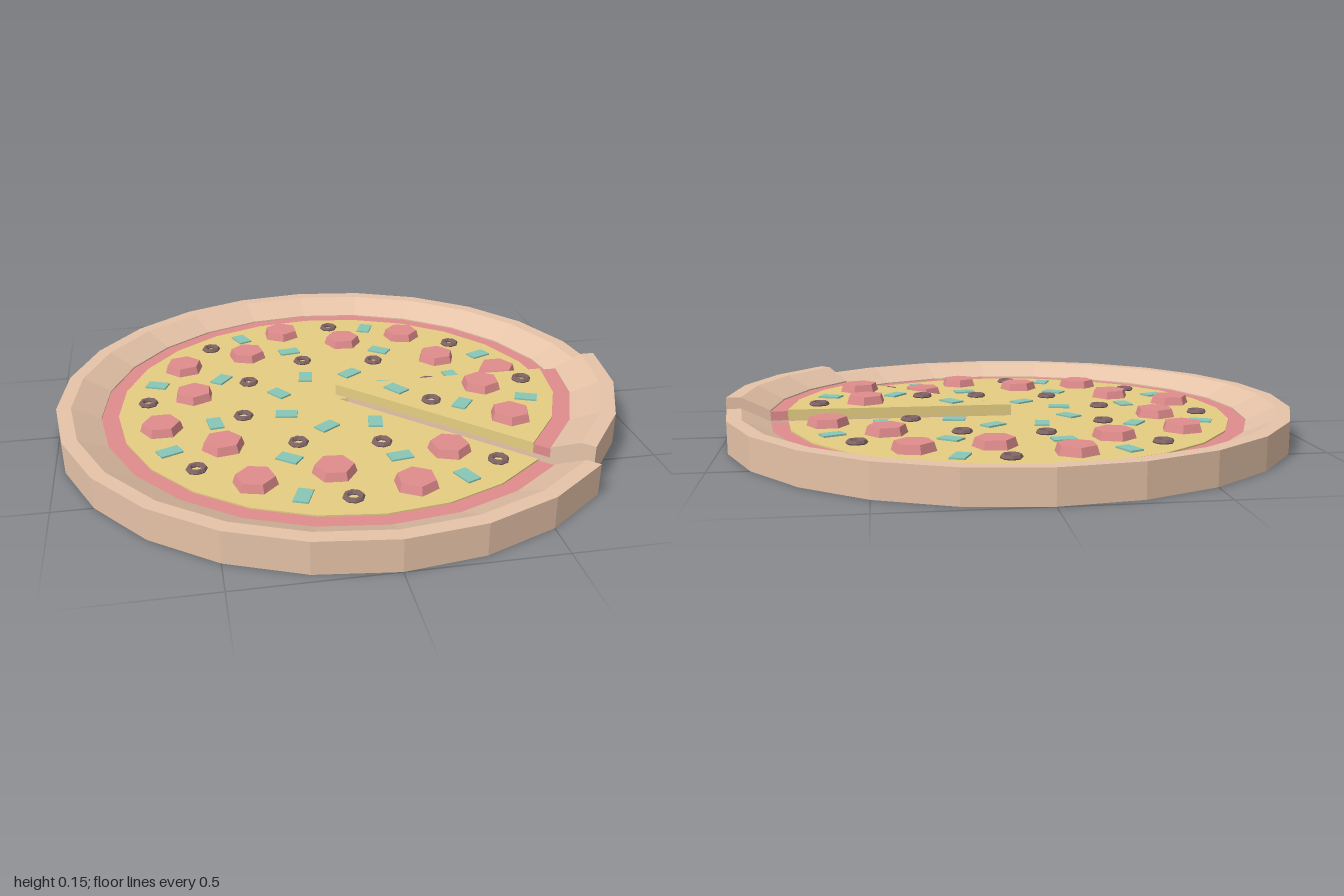
import * as THREE from 'three';
import { mergeGeometries } from 'three/addons/utils/BufferGeometryUtils.js';

const SLICES = 8;
const WEDGE = (Math.PI * 2) / SLICES;
const rad = THREE.MathUtils.degToRad;
const paint = (color) => new THREE.MeshStandardMaterial({ color, flatShading: true });

// Sweeps a closed counter-clockwise (radius, height) section through one slice and caps both cuts
function wedge(section) {
  const points = section.map(([r, y]) => new THREE.Vector2(r, y));
  const shell = new THREE.LatheGeometry([...points, points[0].clone()], 3, Math.PI / 2 - WEDGE, WEDGE);
  const farCap = new THREE.ShapeGeometry(new THREE.Shape(points));
  const nearCap = farCap.clone();
  nearCap.setIndex(Array.from(nearCap.index.array).reverse());
  farCap.rotateY(-WEDGE);
  const geometry = mergeGeometries([shell, farCap, nearCap]).toNonIndexed();
  geometry.computeVertexNormals();
  return geometry;
}

export function createModel() {
  const pizza = new THREE.Group();
  pizza.name = 'pizza';

  const crustMat = paint(0xe6c3a8);
  const sauceMat = paint(0xe08c8c);
  const cheeseMat = paint(0xe6ce82);
  const oliveMat = paint(0x806464);
  const pepperMat = paint(0x88c6b6);

  const top = 0.062; // cheese surface
  const crustGeo = wedge([[0, 0], [1, 0], [1, 0.11], [0.95, 0.11], [0.85, 0.062], [0.85, 0.025], [0, 0.025]]);
  const sauceGeo = wedge([[0.79, 0.025], [0.85, 0.025], [0.85, 0.057], [0.79, 0.057]]);
  const cheeseGeo = wedge([[0, 0.025], [0.79, 0.025], [0.79, top], [0, top]]);
  const sausageGeo = new THREE.CylinderGeometry(0.064, 0.074, 0.03, 6);
  const oliveGeo = new THREE.TorusGeometry(0.026, 0.01, 6, 8).rotateX(Math.PI / 2);
  const pepperGeo = new THREE.BoxGeometry(0.078, 0.008, 0.05);

  // Toppings of one slice: x, z, turn in degrees
  const toppings = [
    { name: 'sausageDisc', geo: sausageGeo, mat: sauceMat, y: top + 0.014,
      spots: [[0.52, 0.11, 5], [0.545, 0.365, 15]] },
    { name: 'oliveRing', geo: oliveGeo, mat: oliveMat, y: top + 0.004,
      spots: [[0.31, 0.195, 0], [0.685, 0.08, 0]] },
    { name: 'pepperPiece', geo: pepperGeo, mat: pepperMat, y: top + 0.002,
      spots: [[0.21, 0.08, 55], [0.41, 0.24, 127], [0.65, 0.23, 22]] },
  ];

  for (let i = 0; i < SLICES; i++) {
    const slice = new THREE.Group();
    slice.name = `slice${i + 1}`;
    slice.rotation.y = -i * WEDGE;
    const add = (name, geo, mat, x = 0, y = 0, z = 0, turn = 0) => {
      const mesh = new THREE.Mesh(geo, mat);
      mesh.name = name;
      mesh.position.set(x, y, z);
      mesh.rotation.y = -rad(turn);
      slice.add(mesh);
    };

    add('crust', crustGeo, crustMat);
    add('sauce', sauceGeo, sauceMat);
    add('cheese', cheeseGeo, cheeseMat);
    for (const { name, geo, mat, y, spots } of toppings) {
      for (const [x, z, turn] of spots) add(name, geo, mat, x, y, z, turn);
    }

    // One slice is lifted and pulled away from its neighbour
    if (i === 0) slice.position.set(-0.005, 0.04, -0.04);
    pizza.add(slice);
  }
  return pizza;
}
